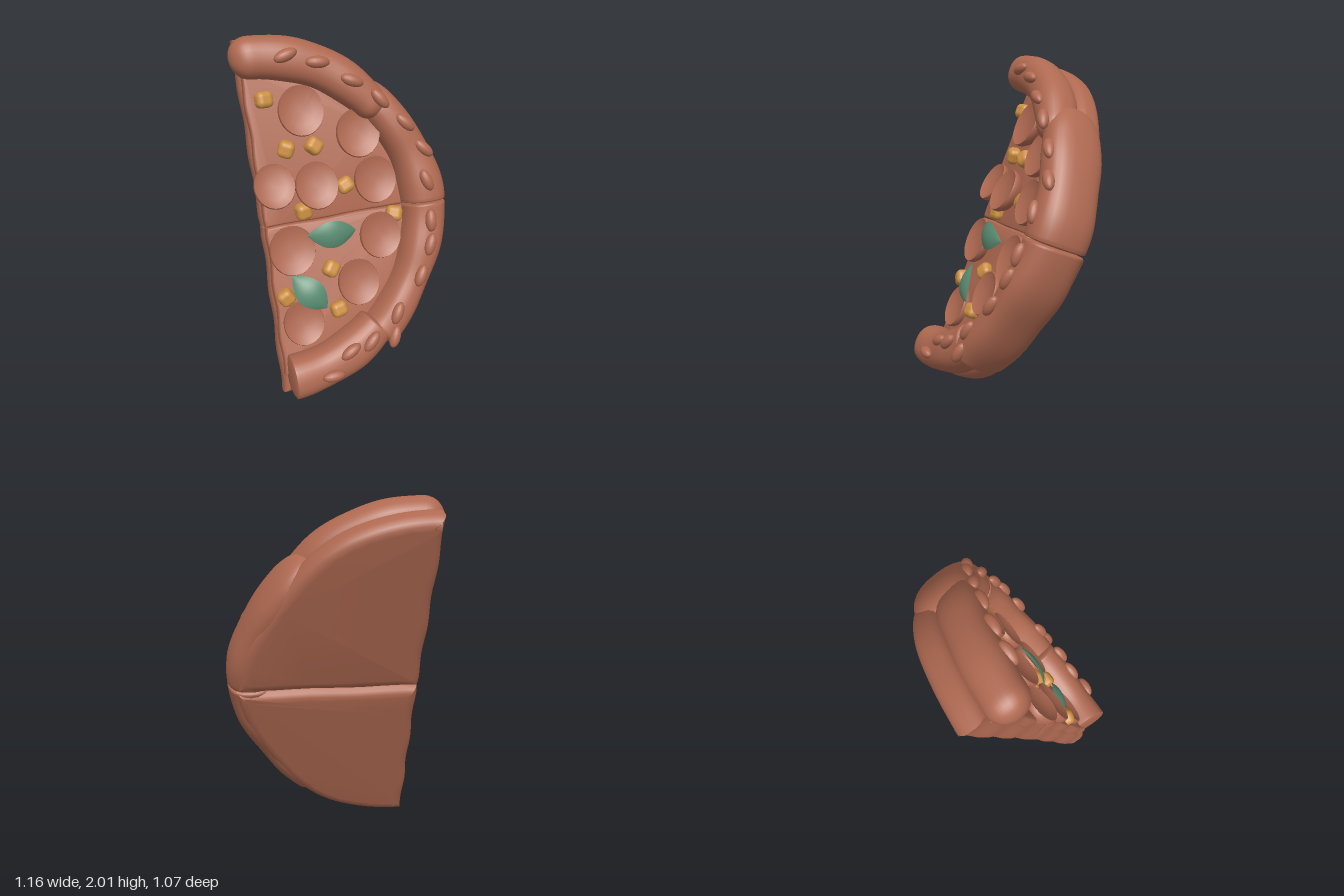
import * as THREE from 'three';
import { toCreasedNormals } from 'three/addons/utils/BufferGeometryUtils.js';
import { RoundedBoxGeometry } from 'three/addons/geometries/RoundedBoxGeometry.js';

const mat = (name, color) => {
  const m = new THREE.MeshStandardMaterial({ color });
  m.name = name;
  return m;
};
const DEG = Math.PI / 180;
const CX = -0.5; // centre of the half disc
const TILT = Math.atan(0.4);
// the outline is a little flatter between the middle and the ends
const dip = (deg) => (Math.abs(deg) < 66 ? 0.045 * Math.sin((Math.PI * deg) / 66) ** 2 : 0);

// Quarter-disc slab, flat in x/y, from z0 to z1 with rounded rim
function slab(radius, up, z0, z1, bevel, left) {
  const pts = [];
  const s = up ? 1 : -1, cut = up ? -0.017 : 0.021;
  for (let i = 0; i <= 10; i++) {
    const x = left + (radius + CX - left) * (i / 10);
    pts.push(new THREE.Vector2(x, s * cut + 0.003 * Math.sin(i * 1.3)));
  }
  for (let i = 1; i <= 30; i++) {
    const a = i * 3 * DEG, r = radius - dip(i * 3);
    if (Math.sin(a) * r > cut + 0.02)
      pts.push(new THREE.Vector2(CX + r * Math.cos(a), s * r * Math.sin(a)));
  }
  // gently wavy straight-cut edge
  for (let i = 0; i < 20; i++) {
    const t = i / 20;
    pts.push(new THREE.Vector2(left + 0.005 * Math.sin(i * 0.9) - 0.015 * (1 - t), s * (radius * (1 - t) + cut * t)));
  }
  const g = new THREE.ExtrudeGeometry(new THREE.Shape(pts), {
    depth: z1 - z0 - 2 * bevel, bevelThickness: bevel, bevelSize: bevel, bevelOffset: -bevel, bevelSegments: 4,
  });
  g.translate(0, 0, z0 + bevel);
  return toCreasedNormals(g, 0.7);
}

// Rolled rim section: an oval section swept along an arc, each end rounded by the given angle
function roll({ a0, a1, r, z, hr, hz, e0, e1, pow }) {
  const N = 48, M = 28, pos = [], idx = [];
  for (let i = 0; i <= N; i++) {
    const t = (1 - Math.cos((Math.PI * i) / N)) / 2;
    const deg = a0 + (a1 - a0) * t, shrink = dip(deg) / 2;
    const cap = (d, e) => (d >= e ? 1 : Math.sqrt(Math.max(0, 1 - (1 - d / e) ** 2)));
    const k = cap(deg - a0, e0) * cap(a1 - deg, e1) * (1 + 0.025 * Math.sin(deg * 0.27));
    for (let j = 0; j <= M; j++) {
      const p = (j / M) * Math.PI * 2, c = Math.cos(p), s = Math.sin(p);
      const rr = r - shrink + (hr - shrink) * k * Math.sign(c) * Math.abs(c) ** pow;
      pos.push(CX + rr * Math.cos(deg * DEG), rr * Math.sin(deg * DEG),
        z + hz * k * Math.sign(s) * Math.abs(s) ** pow);
    }
  }
  for (let i = 0; i < N; i++)
    for (let j = 0; j < M; j++) {
      const a = i * (M + 1) + j, b = a + M + 1;
      idx.push(a, b, a + 1, b, b + 1, a + 1);
    }
  const g = new THREE.BufferGeometry();
  g.setAttribute('position', new THREE.Float32BufferAttribute(pos, 3));
  g.setIndex(idx);
  return toCreasedNormals(g, 0.9);
}

// Domed pointed leaf along x
function leafGeometry(length, width) {
  const g = new THREE.PlaneGeometry(2, 2, 24, 8);
  const p = g.attributes.position;
  for (let i = 0; i < p.count; i++) {
    const s = p.getX(i), t = p.getY(i), w = 1 - Math.abs(s) ** 2;
    p.setXYZ(i, (s * length) / 2, (t * w * width) / 2, 0.05 * (1 - s * s) - 0.02 * t * t * w);
  }
  g.computeVertexNormals();
  return g;
}

export function createModel() {
  const brown = mat('baked brown', 0xaf6951);
  const yellow = mat('corn yellow', 0xcb8f42);
  const green = mat('leaf green', 0x598b71);
  green.side = THREE.DoubleSide;

  const model = new THREE.Group();
  const pizza = new THREE.Group();
  pizza.name = 'halfPizza';
  pizza.position.y = 1;
  pizza.rotation.x = -TILT;
  model.add(pizza);
  const add = (name, geo, m, x = 0, y = 0, z = 0) => {
    const mesh = new THREE.Mesh(geo, m);
    mesh.name = name;
    mesh.position.set(x, y, z);
    pizza.add(mesh);
    return mesh;
  };
  // in-plane height for a point at world height y and depth n
  const toV = (y, n) => (y - 1 - n * Math.sin(TILT)) / Math.cos(TILT);

  // Two slices: dough base and filling layer
  for (const up of [true, false]) {
    const side = up ? 'upper' : 'lower';
    add(side + 'Dough', slab(1.03, up, -0.176, -0.01, 0.06, -0.51), brown);
    add(side + 'Filling', slab(0.9, up, -0.05, 0.022, 0.015, -0.5), brown);
  }

  // Rim sections
  const rolls = [
    { a0: 36, a1: 95, r: 0.92, z: 0.08, hr: 0.118, hz: 0.118, e0: 6, e1: 7, pow: 0.85 },
    { a0: -1.2, a1: 50, r: 0.95, z: 0.005, hr: 0.132, hz: 0.172, e0: 0.7, e1: 14, pow: 0.78 },
    { a0: -54, a1: -0.9, r: 0.95, z: 0.005, hr: 0.132, hz: 0.172, e0: 2.5, e1: 0.7, pow: 0.78 },
    { a0: -90, a1: -50, r: 0.9, z: 0.05, hr: 0.125, hz: 0.13, e0: 1.2, e1: 2, pow: 0.85 },
  ];
  rolls.forEach((r) => add('rimSection', roll(r), brown));

  // Seeds lying on the rim: x, y, turn
  const seeds = [
    [-0.3, 1.9, 0.3], [-0.13, 1.85, -0.1], [0.05, 1.74, -0.4],
    [0.2, 1.63, -0.9], [0.34, 1.49, -0.8], [0.44, 1.34, -0.8], [0.43, 1.17, -1.2],
    [0.43, 0.95, 1.5], [0.41, 0.82, 1.2], [0.33, 0.66, 1.1], [0.16, 0.48, 1.1],
    [0.13, 0.35, 1.2], [-0.02, 0.36, 0.8], [-0.15, 0.33, 0.5], [-0.27, 0.22, 0],
  ];
  const seedGeo = new THREE.SphereGeometry(1, 16, 10);
  seeds.forEach(([x, y, turn]) => {
    const v = toV(y, 0.16), rho = Math.hypot(x - CX, v), a = Math.atan2(v, x - CX) / DEG;
    const r = rolls.find((q) => a >= q.a0 && a <= q.a1), shrink = dip(a) / 2;
    const d = Math.min(0.9, Math.max(-0.9, (rho - r.r + shrink) / (r.hr - shrink)));
    const s = add('seed', seedGeo, brown, x, v, r.z + r.hz * Math.sqrt(1 - d * d) + 0.005);
    s.scale.set(0.068, 0.033, 0.034);
    s.rotation.z = turn;
  });

  // Cupped round slices: x, y, radius, depth, extra tilt
  const cup = [[0, -0.045], [0.8, -0.04], [0.97, -0.005], [1, 0.018], [0.97, 0.03], [0.92, 0.027], [0.6, 0.012], [0, 0.008]];
  const discGeo = (r) => toCreasedNormals(
    new THREE.LatheGeometry(cup.map(([a, b]) => new THREE.Vector2(a * r, b)), 36).rotateX(Math.PI / 2), 0.8);
  [
    [-0.225, 1.59, 0.13, 0.06, 0.06], [0.085, 1.44, 0.128, 0.07, 0.06], [-0.43, 1.22, 0.117, 0.05, 0.2],
    [-0.195, 1.2, 0.124, 0.07, 0.14], [0.155, 1.18, 0.125, 0.065, 0.02], [-0.38, 0.87, 0.132, 0.045, 0.04],
    [0.15, 0.87, 0.125, 0.055, 0.04], [-0.015, 0.63, 0.125, 0.045, 0.06], [-0.37, 0.46, 0.12, 0.03, 0.06],
  ].forEach(([x, y, r, n, tilt]) => {
    const disc = add('sausageSlice', discGeo(r), brown, x, toV(y, n + 0.02), n);
    disc.scale.y = 1.09;
    disc.rotation.x = -tilt;
  });

  // Corn pieces
  const corn = new RoundedBoxGeometry(0.098, 0.092, 0.084, 3, 0.032);
  [
    [-0.415, 1.655], [-0.33, 1.39], [-0.17, 1.385], [-0.015, 1.155], [-0.28, 1.055],
    [0.26, 0.955], [-0.165, 0.72], [-0.45, 0.615], [-0.15, 0.49],
  ].forEach(([x, y], i) => {
    add('cornPiece', corn, yellow, x, toV(y, 0.038), 0.038).rotation.set(0.25 * Math.sin(i * 2), 0.25 * Math.cos(i * 3), i * 1.2);
  });

  // Leaves, rolled about their own length, pitched, then turned in the plane
  [
    [-0.145, 0.95, 0.085, 0.29, 0.165, 0.2, 0, -0.06],
    [-0.31, 0.63, 0.045, 0.28, 0.165, 0.08, -0.12, -0.9],
  ].forEach(([x, y, n, length, width, lean, pitch, turn]) => {
    const leaf = add('leaf', leafGeometry(length, width), green, x, toV(y, n + 0.03), n);
    leaf.rotation.set(lean, pitch, turn, 'ZXY');
  });

  return model;
}
